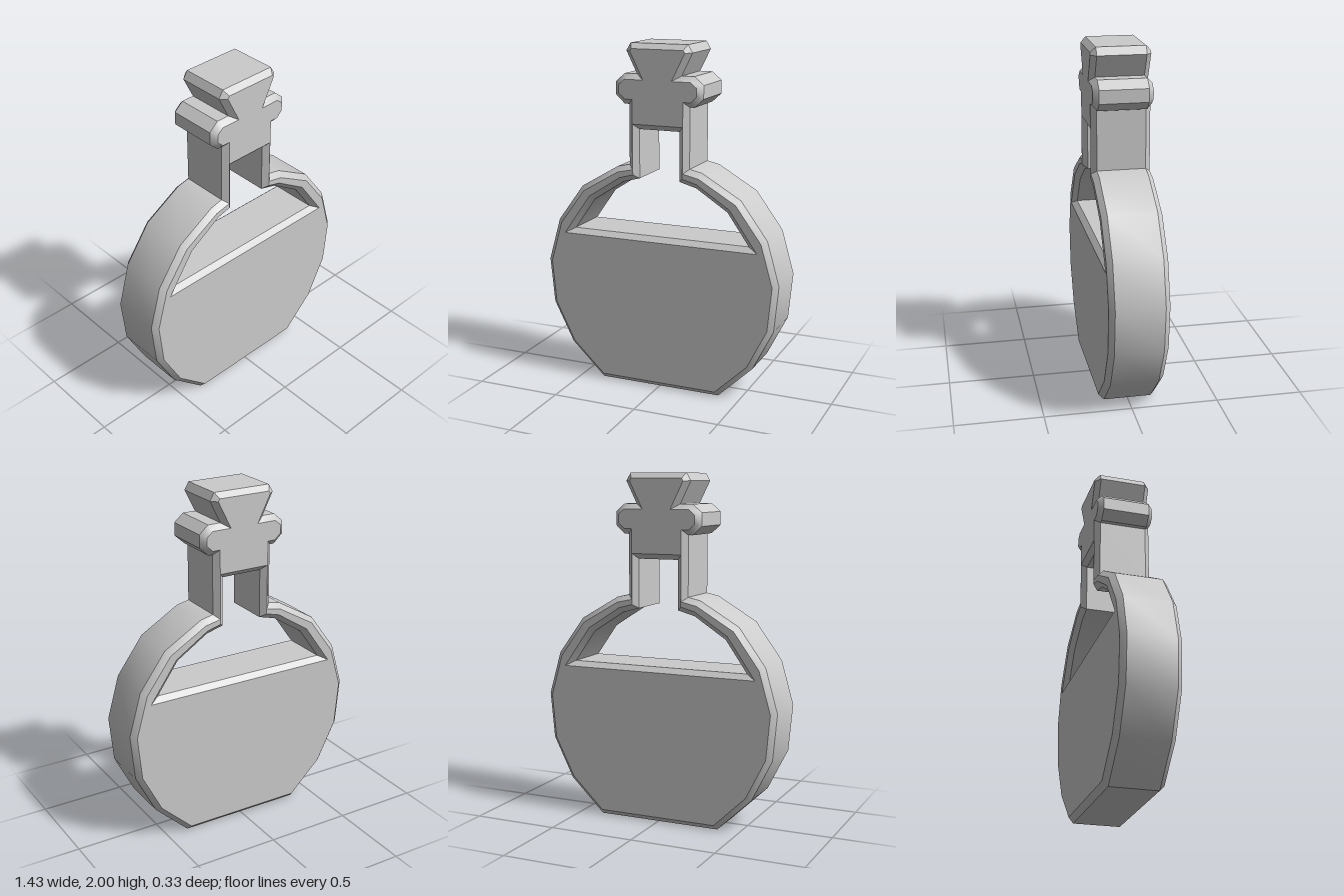
import * as THREE from 'three';
import { mergeVertices, toCreasedNormals } from 'three/addons/utils/BufferGeometryUtils.js';

const HALF_DEPTH = 0.167;
const BEVEL = 0.03;

// Right half of the flat face, from the base up to the stopper top
const OUTLINE = [
  [0.355, 0.03], [0.546, 0.213], [0.661, 0.442], [0.685, 0.698], [0.616, 0.938],
  [0.466, 1.143], [0.246, 1.272], [0.153, 1.292],             // shoulder
  [0.153, 1.69], [0.198, 1.69], [0.233, 1.722], [0.233, 1.77], [0.198, 1.8], // lip
  [0.085, 1.8], [0.163, 1.955], [0.154, 1.97],                // flared stopper
];

// Right half of the window above the liquid
const WINDOW = [[0.594, 0.88], [0.43, 1.114], [0.235, 1.24], [0.151, 1.263], [0.151, 1.552]];

const mirrored = (half) => [
  ...half.map(([x, y]) => new THREE.Vector2(x, y)),
  ...[...half].reverse().map(([x, y]) => new THREE.Vector2(-x, y)),
];

// Mitred offset to the right-hand side of the travel direction
function offset(loop, d) {
  const n = loop.length;
  const normal = (a, b) => new THREE.Vector2(b.y - a.y, a.x - b.x).normalize();
  return loop.map((p, i) => {
    const n1 = normal(loop[(i + n - 1) % n], p);
    const n2 = normal(p, loop[(i + 1) % n]);
    return n1.clone().add(n2).multiplyScalar(d / (1 + n1.dot(n2))).add(p);
  });
}

// Slab with chamfered rims around its outline and its window
function chamferedSlab(outline, window) {
  const positions = [], index = [];
  const addRing = (loop, z) => {
    const start = positions.length / 3;
    loop.forEach((p) => positions.push(p.x, p.y, z));
    return start;
  };

  // Walls: face edge, chamfer, straight side, chamfer, face edge
  for (const loop of [outline, window]) {
    const wide = offset(loop, BEVEL);
    const inner = HALF_DEPTH - BEVEL;
    const rings = [[loop, -HALF_DEPTH], [wide, -inner], [wide, inner], [loop, HALF_DEPTH]]
      .map(([l, z]) => addRing(l, z));
    for (let r = 0; r < 3; r++) {
      for (let i = 0; i < loop.length; i++) {
        const j = (i + 1) % loop.length;
        const a = rings[r] + i, b = rings[r] + j, c = rings[r + 1] + j, d = rings[r + 1] + i;
        index.push(a, b, c, a, c, d);
      }
    }
  }

  // Front and back faces
  const triangles = THREE.ShapeUtils.triangulateShape([...outline], [[...window]]);
  for (const side of [1, -1]) {
    const start = addRing([...outline, ...window], side * HALF_DEPTH);
    for (const [a, b, c] of triangles) {
      const area = THREE.ShapeUtils.area([a, b, c].map((k) => [...outline, ...window][k]));
      const order = area * side > 0 ? [a, b, c] : [a, c, b];
      index.push(...order.map((k) => start + k));
    }
  }

  const geometry = new THREE.BufferGeometry();
  geometry.setAttribute('position', new THREE.Float32BufferAttribute(positions, 3));
  geometry.setIndex(index);
  return toCreasedNormals(mergeVertices(geometry), 0.6);
}

export function createModel() {
  const group = new THREE.Group();
  group.name = 'potionFlask';
  const material = new THREE.MeshStandardMaterial({ color: 0xcccccc });
  const flask = new THREE.Mesh(chamferedSlab(mirrored(OUTLINE), mirrored(WINDOW).reverse()), material);
  flask.name = 'flaskWithStopper';
  group.add(flask);
  return group;
}
